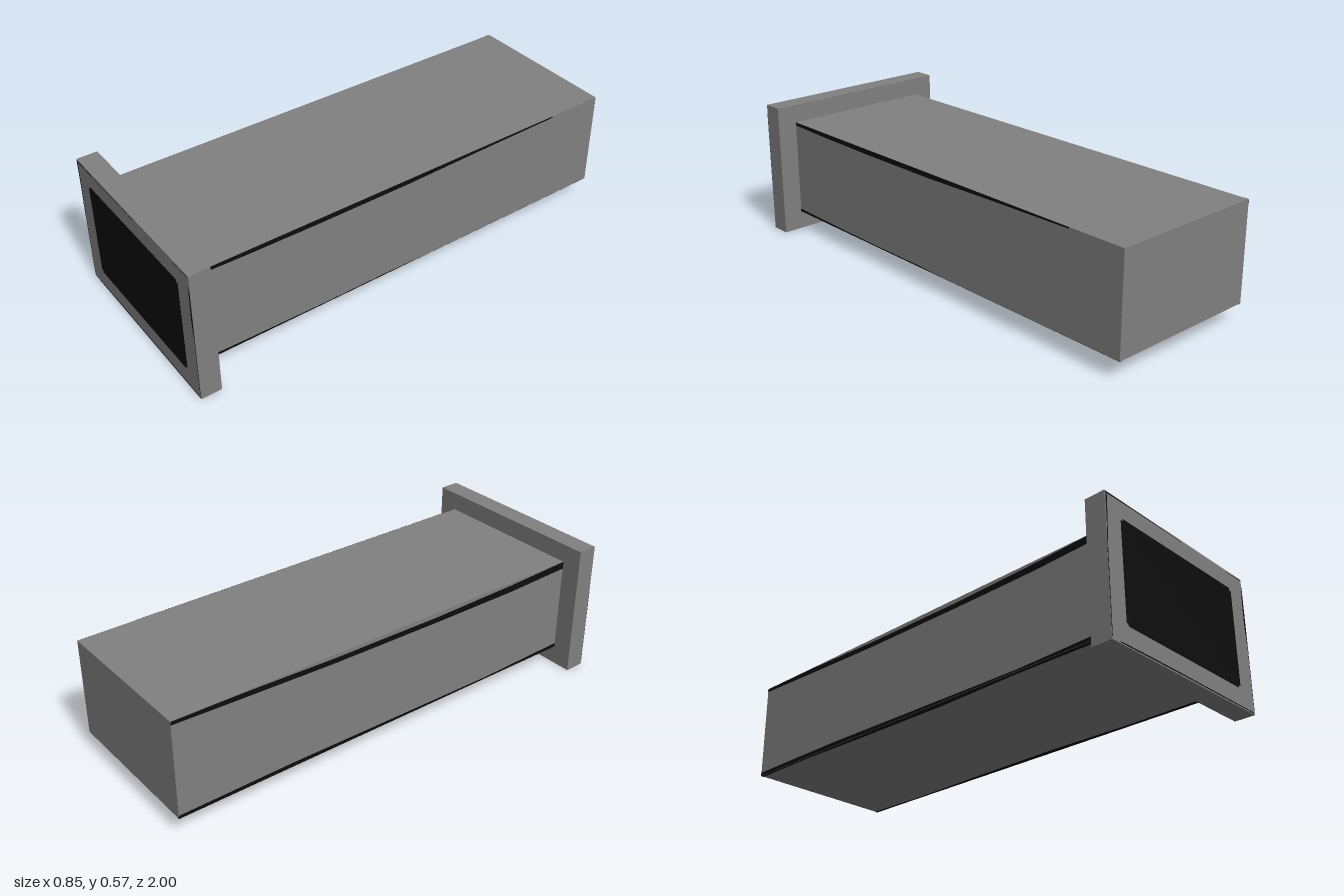
import * as THREE from 'three';

export function createModel() {
  const model = new THREE.Group();
  const grey = new THREE.MeshStandardMaterial({ color: 0x808080 });
  grey.name = 'grey';
  const black = new THREE.MeshStandardMaterial({ color: 0x0d0d0d, side: THREE.DoubleSide });
  black.name = 'black';

  const add = (name, geometry, material) => {
    const mesh = new THREE.Mesh(geometry, material);
    mesh.name = name;
    model.add(mesh);
    return mesh;
  };
  const box = (name, w, h, d, x, y, z) =>
    add(name, new THREE.BoxGeometry(w, h, d), grey).position.set(x, y, z);

  // Long body and the wider flange at its front
  const BX = 0.337, Y0 = 0.08, Y1 = 0.497, FX = 0.424, FY = 0.575, FZ = 0.914;
  box('body', BX * 2, Y1 - Y0, FZ + 1, 0, (Y0 + Y1) / 2, (FZ - 1) / 2);
  box('flange', FX * 2, FY, 1 - FZ, 0, FY / 2, (1 + FZ) / 2);

  const plate = (name, points) =>
    add(name, new THREE.ShapeGeometry(new THREE.Shape(points.map(p => new THREE.Vector2(...p)))), black);

  // Dark front panel with small notched corners
  const px = 0.341, py = 0.21, n = 0.01;
  const corners = [[1, 1], [-1, 1], [-1, -1], [1, -1]];
  const outline = corners.flatMap(([sx, sy], i) => {
    const c = [[px * sx, (py - n) * sy], [(px - n) * sx, (py - n) * sy], [(px - n) * sx, py * sy]];
    return i % 2 ? c.reverse() : c;
  });
  plate('frontPanel', outline).position.set(0, 0.29, 1.001);

  // Uneven worn streak: stations of [along, low, high]
  const streak = (name, s) =>
    plate(name, [...s.map(p => [p[0], p[1]]), ...s.map(p => [p[0], p[2]]).reverse()]);
  const side = (name, sign, s) => {
    const m = streak(name, s.map(([z, a, b]) => [-z, a, b]));
    m.rotation.y = Math.PI / 2;
    m.position.x = sign * (BX + 0.001);
  };
  side('rightTopWear', 1, [[FZ, 0.483, Y1], [0.7, 0.478, Y1], [0.4, 0.475, Y1], [0, 0.476, Y1], [-0.35, 0.484, Y1], [-0.75, 0.491, Y1]]);
  side('rightBottomWear', 1, [[FZ, Y0, 0.092], [0.75, Y0, 0.089], [0.4, Y0, 0.084], [0.1, Y0, 0.085], [-0.1, Y0, 0.081]]);
  side('leftTopWear', -1, [[FZ, 0.465, Y1], [0.6, 0.455, 0.485], [0.2, 0.455, 0.478], [-0.3, 0.46, 0.482], [-0.7, 0.472, 0.494], [-1, 0.482, Y1]]);
  side('leftBottomWear', -1, [[FZ, Y0, 0.098], [0.5, Y0, 0.087], [0, Y0, 0.092], [-0.5, Y0, 0.098], [-1, Y0, 0.094]]);

  // Wear along the underside edges
  for (const sign of [1, -1]) {
    const m = streak('undersideWear', [[FZ, 0.318, BX], [0.5, 0.322, BX], [0.1, 0.312, BX], [-0.3, 0.318, BX], [-0.7, 0.328, BX], [-1, 0.324, BX]]
      .map(([z, a, b]) => [z, sign * a, sign * b]));
    // Local x runs along z, local y along x
    m.rotation.set(-Math.PI / 2, 0, -Math.PI / 2);
    m.position.y = Y0 - 0.001;
  }

  // Thin wear lines around the flange front
  const front = (name, s) => { streak(name, s).position.z = 1.001; };
  front('flangeTopWear', [[-0.42, 0.566, 0.572], [-0.25, 0.568, 0.571], [0.03, 0.567, 0.569]]);
  front('flangeTopWear', [[0.32, 0.567, 0.569], [0.42, 0.567, 0.57]]);
  front('flangeBottomWear', [[-0.38, 0.003, 0.008], [-0.2, 0.004, 0.01], [0, 0.005, 0.01], [0.2, 0.004, 0.009], [0.42, 0.004, 0.008]]);
  const upright = (name, s) => {
    const m = streak(name, s.map(([y, a, b]) => [y, -a, -b]));
    m.rotation.z = Math.PI / 2;
    m.position.z = 1.001;
  };
  upright('flangeLeftWear', [[0.01, -0.424, -0.421], [0.35, -0.424, -0.42], [0.46, -0.42, -0.415], [0.57, -0.42, -0.412]]);
  upright('flangeRightWear', [[0.01, 0.421, 0.423], [0.28, 0.421, 0.424], [0.37, 0.414, 0.424], [0.5, 0.417, 0.424], [0.54, 0.422, 0.424]]);

  return model;
}
